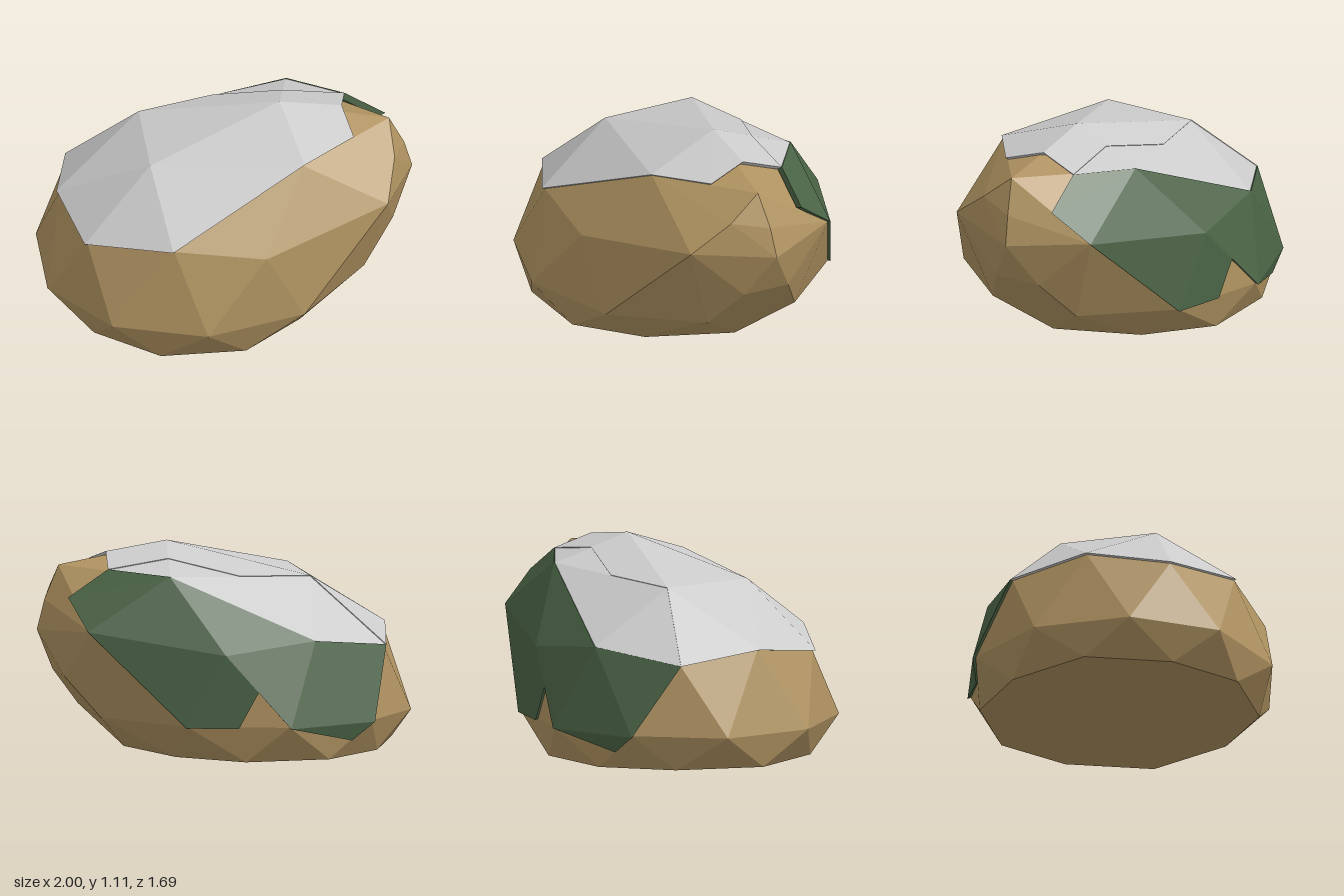
import * as THREE from 'three';
import { ConvexGeometry } from 'three/addons/geometries/ConvexGeometry.js';

const centre = new THREE.Vector3(0, 0.5, 0);
const shrink = (v, s) => v.clone().sub(centre).multiplyScalar(s).add(centre);

// Corners of the boulder. Lower-case keys are the mirrored (-z) twins.
const half = {
  A: [-0.92, 0.63, 0], B: [-0.82, 0.57, 0.445], C: [-0.37, 0.64, 0.69], D: [-0.445, 0.93, 0.265],
  E: [0.285, 1.11, 0], F: [0.37, 0.975, 0.425], G: [0.62, 1.06, 0], H: [0.66, 0.995, 0.215],
  I: [0.88, 0.85, 0.215], J: [0.82, 0.69, 0.425], K: [0.87, 0.99, 0.045], L: [0.955, 0.81, 0.015],
  M: [1, 0.65, 0], N: [0.88, 0.41, 0.135], Q: [0.13, 0.58, 0.72],
  R: [-1, 0.185, 0.265], S: [-0.7, 0.19, 0.685], T: [-0.2, 0.19, 0.845], U: [0.34, 0.19, 0.685], V: [0.71, 0.2, 0.265],
  // foot ring
  a1: [-0.955, 0, 0], W: [-0.77, 0, 0.445], X: [-0.44, 0, 0.715], Y: [0.02, 0, 0.715], Z: [0.34, 0, 0.445], z1: [0.52, 0, 0],
};
const P = {};
for (const [k, [x, y, z]] of Object.entries(half)) {
  P[k] = new THREE.Vector3(x, y, z);
  if (k.length === 1 && z > 0.1) P[k.toLowerCase()] = new THREE.Vector3(x, y, -z);
}
// Points halfway along edges, where the plates break
const mid = (a, b) => P[a].clone().lerp(P[b], 0.5);
P['1'] = mid('d', 'f');
P['2'] = mid('E', 'f');
P['3'] = mid('u', 't');
P['4'] = mid('q', 't');
P['5'] = mid('s', 'x');

// A thin closed shell over the listed triangles, with walls along its open border
function plate(name, tris, color, outer, inner) {
  const pos = [];
  const add = (...vs) => vs.forEach((v) => pos.push(v.x, v.y, v.z));
  const edges = new Map();
  for (const t of tris.split(' ')) {
    let [a, b, c] = t;
    const n = P[b].clone().sub(P[a]).cross(P[c].clone().sub(P[a]));
    const out = P[a].clone().add(P[b]).add(P[c]).divideScalar(3).sub(centre);
    if (n.dot(out) < 0) [b, c] = [c, b];
    add(shrink(P[a], outer), shrink(P[b], outer), shrink(P[c], outer));
    add(shrink(P[a], inner), shrink(P[c], inner), shrink(P[b], inner));
    for (const [p, q] of [[a, b], [b, c], [c, a]]) {
      if (!edges.delete(q + p)) edges.set(p + q, [p, q]);
    }
  }
  for (const [p, q] of edges.values()) {
    const p0 = shrink(P[p], outer), q0 = shrink(P[q], outer);
    const p1 = shrink(P[p], inner), q1 = shrink(P[q], inner);
    add(p0, p1, q1, p0, q1, q0);
  }
  const g = new THREE.BufferGeometry();
  g.setAttribute('position', new THREE.Float32BufferAttribute(pos, 3));
  g.computeVertexNormals();
  return makeMesh(name, g, color);
}

function makeMesh(name, geometry, color) {
  const mesh = new THREE.Mesh(geometry, new THREE.MeshStandardMaterial({ color, flatShading: true }));
  mesh.name = name;
  return mesh;
}

export function createModel() {
  const group = new THREE.Group();
  group.name = 'boulder';

  // Rock body: convex, drawn in slightly where plates cover it
  const covered = 'ABbCcDdEFfjqstu';
  const skipped = ['G', 'H', 'h', 'i', '1', '2', '3', '4', '5'];
  const body = Object.keys(P).filter((k) => !skipped.includes(k))
    .map((k) => (k.length === 1 && covered.includes(k) ? shrink(P[k], 0.98) : P[k]));
  group.add(makeMesh('rockBody', new ConvexGeometry(body), 0xb09361));

  // Pale cap in two plates, split by a crack
  group.add(plate('capMain', 'ABD ADd Adb BCD CFD DFE DEd FHE EHG dE1 E21 EG2 Gh2', 0xcccccc, 1, 0.955));
  group.add(plate('capBack', 'bcd cd1 c1f 12f 2hf', 0xcccccc, 0.993, 0.955));

  // Moss over the back, with a notch near its foot
  group.add(plate('moss', 'fhi fij qfj qju cfq qu3 q34 cq4 c4t cts csb ts5', 0x4a6345, 1, 0.955));
  return group;
}
